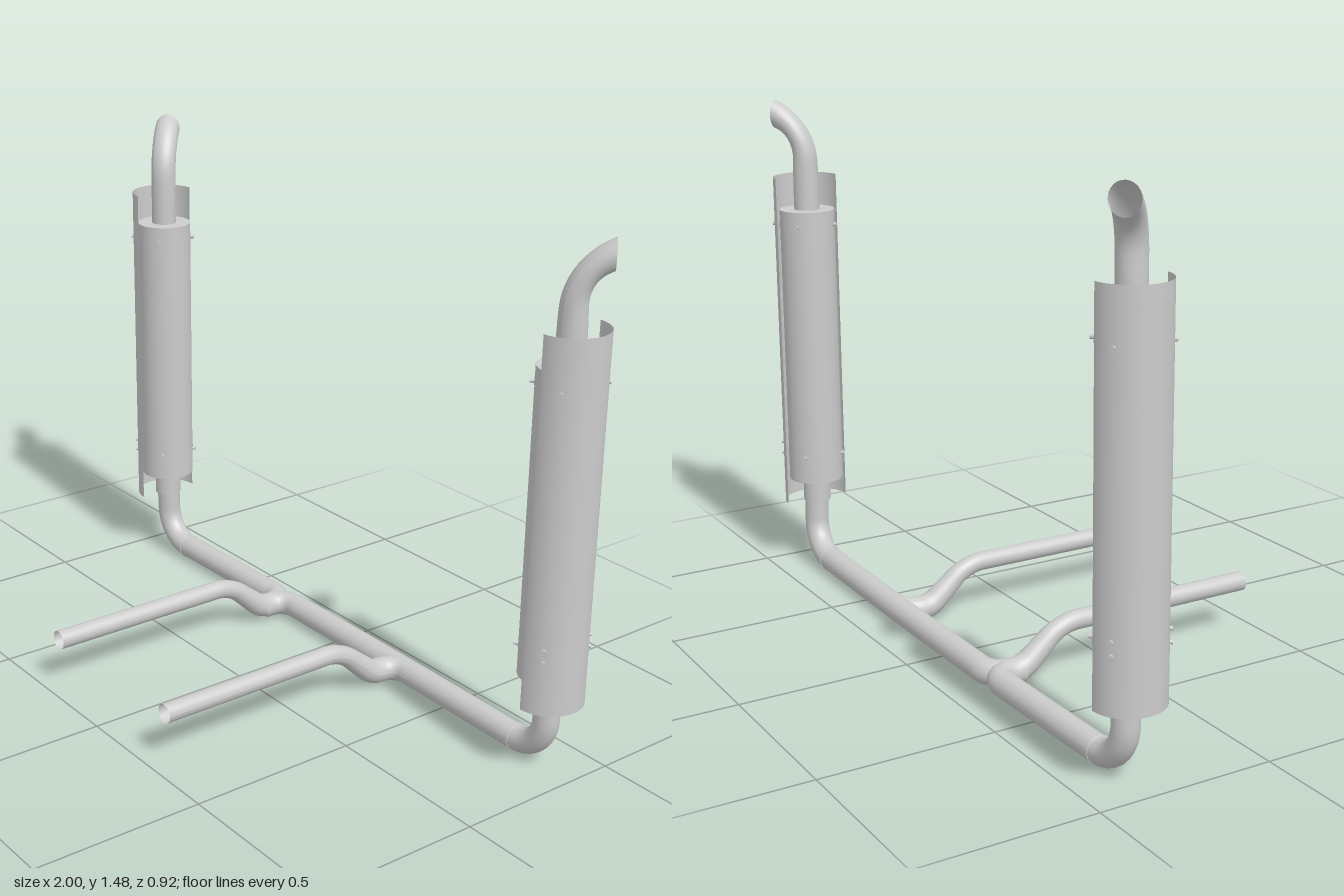
import * as THREE from 'three';

const metal = new THREE.MeshStandardMaterial({ color: 0xcccccc, side: THREE.DoubleSide });
const V = (x, y, z) => new THREE.Vector3(x, y, z);

// Polyline whose inner corners are rounded; corners are [x, y, z, trim]
function roundedPath(corners) {
  const path = new THREE.CurvePath();
  const pts = corners.map((c) => V(c[0], c[1], c[2]));
  let start = pts[0];
  for (let i = 1; i < pts.length - 1; i++) {
    const p = pts[i], trim = corners[i][3];
    const a = p.clone().add(pts[i - 1].clone().sub(p).setLength(trim));
    const b = p.clone().add(pts[i + 1].clone().sub(p).setLength(trim));
    path.add(new THREE.LineCurve3(start, a));
    path.add(new THREE.CubicBezierCurve3(a, a.clone().lerp(p, 0.55), b.clone().lerp(p, 0.55), b));
    start = b;
  }
  path.add(new THREE.LineCurve3(start, pts[pts.length - 1]));
  return path;
}

// Open tube; reshape(vertex, centre, u) may move each ring vertex
function pipe(name, path, segments, radius, reshape) {
  const sides = 24;
  const geo = new THREE.TubeGeometry(path, segments, radius, sides, false);
  if (reshape) {
    const pos = geo.attributes.position, v = V(0, 0, 0);
    for (let i = 0; i < pos.count; i++) {
      const u = Math.floor(i / (sides + 1)) / segments;
      reshape(v.fromBufferAttribute(pos, i), path.getPointAt(u), u);
      pos.setXYZ(i, v.x, v.y, v.z);
    }
    geo.computeVertexNormals();
  }
  const mesh = new THREE.Mesh(geo, metal);
  mesh.name = name;
  return mesh;
}

// Forward pipes are slimmer than the crossbar and widen down the bend
const slimForward = (v, c) => {
  const t = THREE.MathUtils.smoothstep(c.z, -0.32, -0.15);
  v.sub(c).multiplyScalar(1 - 0.24 * t).add(c);
};

function cylinder(name, r, y0, y1, open = false, start = 0, length = Math.PI * 2) {
  const geo = new THREE.CylinderGeometry(r, r, y1 - y0, 40, 1, open, start, length);
  const mesh = new THREE.Mesh(geo, metal);
  mesh.position.y = (y0 + y1) / 2;
  mesh.name = name;
  return mesh;
}

function screw(r, angle, y) {
  const mesh = new THREE.Mesh(new THREE.CylinderGeometry(0.006, 0.006, 0.012, 8), metal);
  mesh.rotation.set(0, -angle, -Math.PI / 2, 'YXZ');
  mesh.position.set(r * Math.cos(angle), y, r * Math.sin(angle));
  mesh.name = 'screw';
  return mesh;
}

// Vertical silencer with heat shield and curved outlet; s is +1 for left, -1 for right
function createStack(s) {
  const g = new THREE.Group();
  g.name = s > 0 ? 'leftStack' : 'rightStack';
  g.position.set(s * 0.9, 0, -0.36);

  g.add(cylinder('silencerBody', 0.084, 0.285, 1.15));
  g.add(cylinder('inletCollar', 0.042, 0.21, 0.3, true));
  g.add(cylinder('heatShield', 0.1, 0.21, 1.25, true, s > 0 ? 0 : Math.PI, Math.PI));
  for (const y of [0.37, 1.105]) g.add(cylinder('clampBand', 0.0855, y - 0.008, y + 0.008, true));

  // Screws on the shield and on the inner side of the silencer
  const out = s > 0 ? 0 : Math.PI;
  for (const side of [-1, 1]) {
    for (const y of [0.365, 0.4, 1.105]) g.add(screw(0.101, out + side * 0.99, y));
    for (const y of [0.37, 1.105]) g.add(screw(0.09, out + Math.PI + side * Math.PI / 4, y));
  }

  // Outlet leans outward and back, its mouth cut along a vertical plane
  const dir = V(s * 0.72, 0, -0.69).normalize();
  const R = 0.151, bend = 1.18, pts = [V(0, 1.12, 0), V(0, 1.18, 0), V(0, 1.24, 0)];
  for (let i = 0; i <= 10; i++) {
    const a = (bend * i) / 10;
    pts.push(dir.clone().multiplyScalar(R * (1 - Math.cos(a))).setY(1.3 + R * Math.sin(a)));
  }
  const tangent = dir.clone().multiplyScalar(Math.sin(bend)).setY(Math.cos(bend));
  g.add(pipe('outletPipe', new THREE.CatmullRomCurve3(pts), 24, 0.039, (v, c, u) => {
    const gap = c.clone().sub(v).dot(dir) / Math.sin(bend);
    v.addScaledVector(tangent, gap * u ** 4);
  }));
  return g;
}

export function createModel() {
  const model = new THREE.Group();
  model.name = 'twinExhaust';
  for (const s of [-1, 1]) model.add(createStack(s));

  const y = 0.039, r = 0.037;
  // Right stack elbow sweeping into the right forward pipe
  model.add(pipe('rightExhaustPipe', roundedPath([
    [-0.9, 0.3, -0.36], [-0.9, y, -0.366, 0.11], [-0.27, y, -0.377, 0.06],
    [-0.27, y, -0.285, 0.03], [-0.27, 0.147, -0.16, 0.05], [-0.27, 0.147, 0.457],
  ]), 160, r, slimForward));

  // Left stack elbow and crossbar joining the right forward pipe
  model.add(pipe('crossbar', roundedPath([
    [0.9, 0.3, -0.36], [0.9, y, -0.366, 0.11], [0.27, y, -0.376, 0.1],
    [-0.27, y, -0.377, 0.06], [-0.27, y, -0.285],
  ]), 140, r));

  // Left forward pipe curving into the crossbar
  model.add(pipe('leftForwardPipe', roundedPath([
    [0.38, y, -0.374], [0.27, y, -0.374, 0.06], [0.27, y, -0.285, 0.025],
    [0.27, 0.147, -0.16, 0.05], [0.27, 0.147, 0.45],
  ]), 100, r * 0.99, slimForward));

  // Weld rings where the elbows meet the crossbar
  for (const s of [-1, 1]) {
    const ring = new THREE.Mesh(new THREE.TorusGeometry(r, 0.002, 8, 32), metal);
    ring.rotation.y = Math.PI / 2;
    ring.position.set(s * 0.79, y, -0.368);
    ring.name = 'weldRing';
    model.add(ring);
  }
  return model;
}
